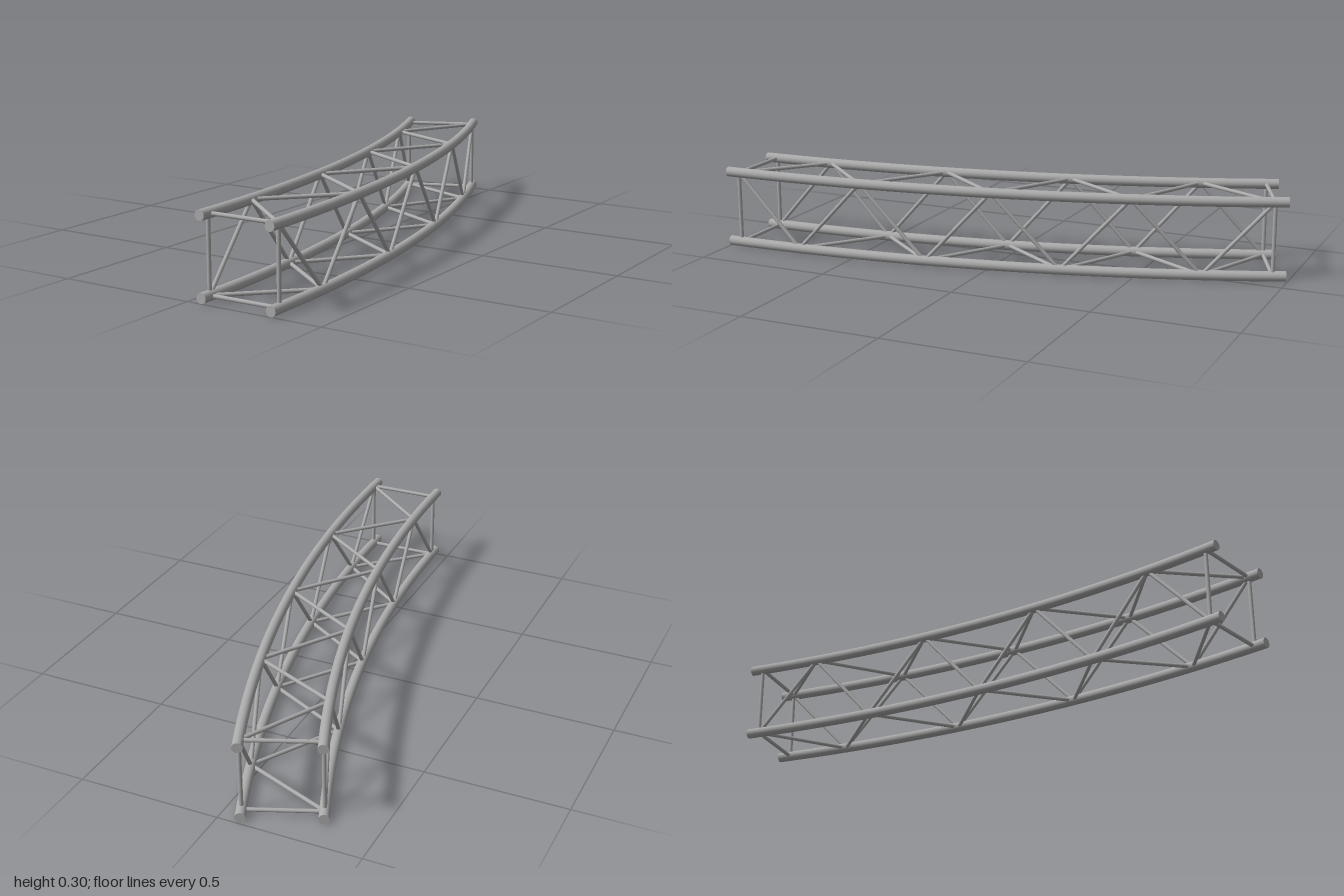
import * as THREE from 'three';

const ARC = THREE.MathUtils.degToRad(22.5);
const MARGIN = THREE.MathUtils.degToRad(0.5);
const BAYS = 8;
const R_OUT = 5.208, R_IN = 4.945; // chord radii about the bend centre
const CX = -4.89, CZ = 1;          // bend centre
const Y_LOW = 0.02, Y_HIGH = 0.282;
const CHORD_R = 0.018, BRACE_R = 0.007;

export function createModel() {
  const metal = new THREE.MeshStandardMaterial({ color: 0xaaaaaa });
  metal.name = 'grey metal';
  const model = new THREE.Group();
  model.name = 'curvedTruss';

  // Point on a chord axis at an angle along the bend
  const at = (r, y, a) => new THREE.Vector3(CX + r * Math.cos(a), y, CZ - r * Math.sin(a));
  const node = (r, y, k) => at(r, y, MARGIN + (ARC - 2 * MARGIN) * k / BAYS);

  // Main curved tube with closed ends
  function chord(name, r, y) {
    const group = new THREE.Group();
    group.name = name;
    const tube = new THREE.Mesh(new THREE.TorusGeometry(r, CHORD_R, 20, 32, ARC).rotateX(-Math.PI / 2), metal);
    tube.name = 'chordTube';
    tube.position.set(CX, y, CZ);
    group.add(tube);
    [[0, 0], [ARC, Math.PI + ARC]].forEach(([a, turn], i) => {
      const cap = new THREE.Mesh(new THREE.CircleGeometry(CHORD_R, 20), metal);
      cap.name = i ? 'backCap' : 'frontCap';
      cap.position.copy(at(r, y, a));
      cap.rotation.y = turn;
      group.add(cap);
    });
    model.add(group);
  }

  // Thin straight bar between two joints
  function bar(name, a, b) {
    const dir = b.clone().sub(a);
    const mesh = new THREE.Mesh(new THREE.CylinderGeometry(BRACE_R, BRACE_R, dir.length(), 12), metal);
    mesh.name = name;
    mesh.position.copy(a).add(b).multiplyScalar(0.5);
    mesh.quaternion.setFromUnitVectors(new THREE.Vector3(0, 1, 0), dir.normalize());
    model.add(mesh);
  }

  chord('outerTopChord', R_OUT, Y_HIGH);
  chord('outerBottomChord', R_OUT, Y_LOW);
  chord('innerTopChord', R_IN, Y_HIGH);
  chord('innerBottomChord', R_IN, Y_LOW);

  // Four faces: chord carrying the even joints, then chord carrying the odd joints
  const faces = [
    ['outerSide', [R_OUT, Y_HIGH], [R_OUT, Y_LOW]],
    ['innerSide', [R_IN, Y_LOW], [R_IN, Y_HIGH]],
    ['top', [R_OUT, Y_HIGH], [R_IN, Y_HIGH]],
    ['bottom', [R_IN, Y_LOW], [R_OUT, Y_LOW]],
  ];
  for (const [name, even, odd] of faces) {
    // Zigzag lacing
    for (let k = 0; k < BAYS; k++) {
      const [p, q] = k % 2 ? [odd, even] : [even, odd];
      bar(name + 'Diagonal', node(...p, k), node(...q, k + 1));
    }
    // Square end frames
    for (const k of [0, BAYS]) bar(name + 'EndBar', node(...even, k), node(...odd, k));
  }
  return model;
}
